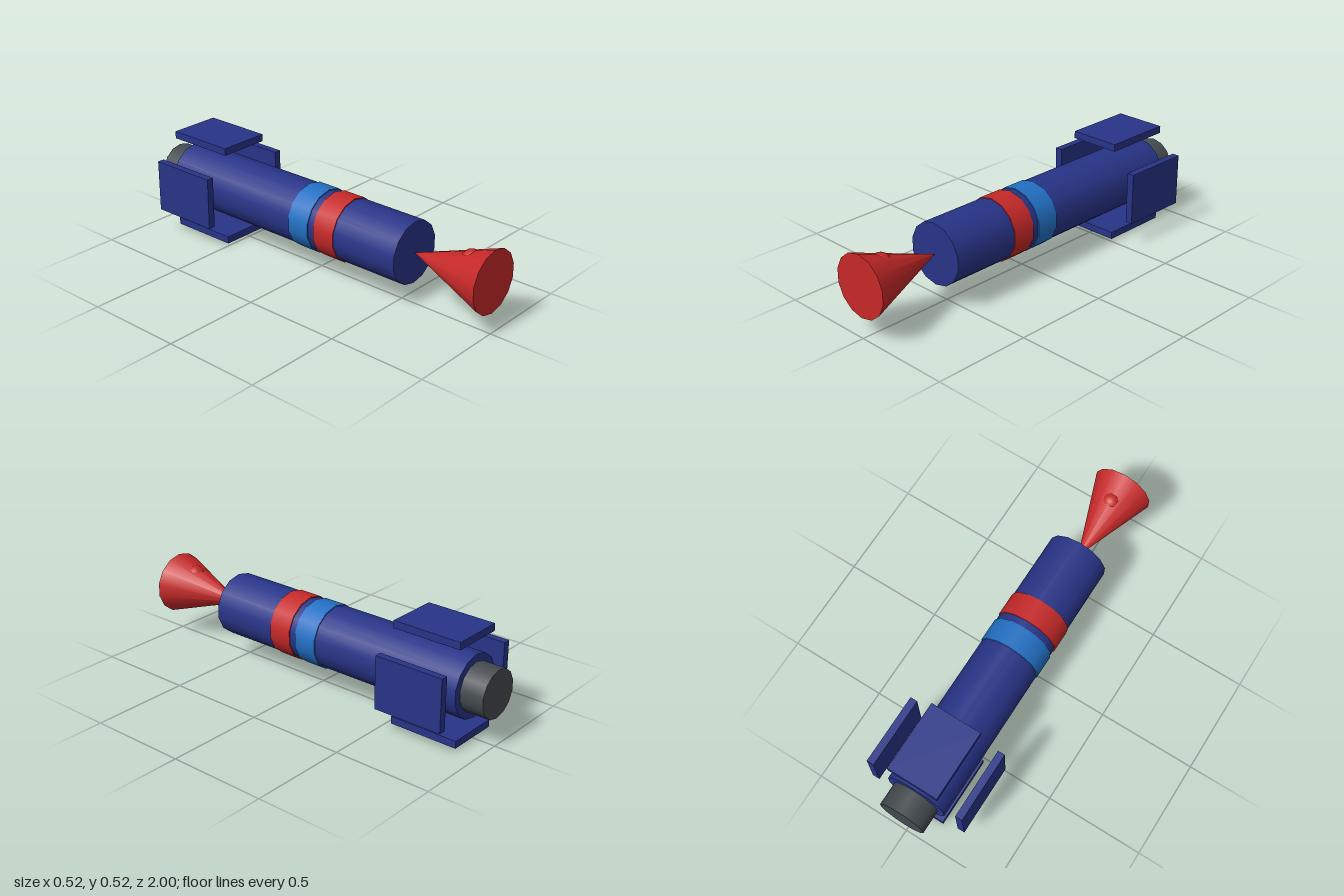
import * as THREE from 'three';

const AXIS_Y = 0.26;
const SIDES = 14;

export function createModel() {
  const material = (name, color) => {
    const m = new THREE.MeshStandardMaterial({ color });
    m.name = name;
    return m;
  };
  const navy = material('navy', 0x283488);
  const red = material('red', 0xc62828);
  const blue = material('blue', 0x2270c4);
  const grey = material('grey', 0x434a4e);

  const model = new THREE.Group();
  model.name = 'rocket';

  const add = (name, geometry, mat, x, y, z) => {
    const mesh = new THREE.Mesh(geometry, mat);
    mesh.name = name;
    mesh.position.set(x, y, z);
    model.add(mesh);
    return mesh;
  };

  // Round section lying along z, from z0 to z1
  const barrel = (name, radius, z0, z1, mat) => {
    const geometry = new THREE.CylinderGeometry(radius, radius, z1 - z0, SIDES);
    geometry.rotateX(Math.PI / 2);
    add(name, geometry, mat, 0, AXIS_Y, (z0 + z1) / 2);
  };

  barrel('body', 0.157, -0.88, 0.565, navy);
  barrel('redBand', 0.162, 0.083, 0.206, red);
  barrel('blueBand', 0.162, -0.075, 0.047, blue);
  barrel('nozzle', 0.12, -1, -0.88, grey);

  // Cone with its point touching the body and its base facing forward
  const cone = new THREE.ConeGeometry(0.157, 0.435, SIDES);
  cone.rotateX(-Math.PI / 2);
  add('noseCone', cone, red, 0, AXIS_Y, 0.7825);

  // Small dome sunk into the top of the cone
  add('noseDome', new THREE.SphereGeometry(0.05, 16, 12), red, 0, 0.33, 0.88);

  // Four flat fins standing clear of the body
  ['top', 'left', 'bottom', 'right'].forEach((side, i) => {
    const angle = (i * Math.PI) / 2;
    const fin = add(side + 'Fin', new THREE.BoxGeometry(0.266, 0.037, 0.36), navy,
      Math.sin(angle) * 0.2415, AXIS_Y + Math.cos(angle) * 0.2415, -0.7);
    fin.rotation.z = -angle;
  });

  return model;
}
